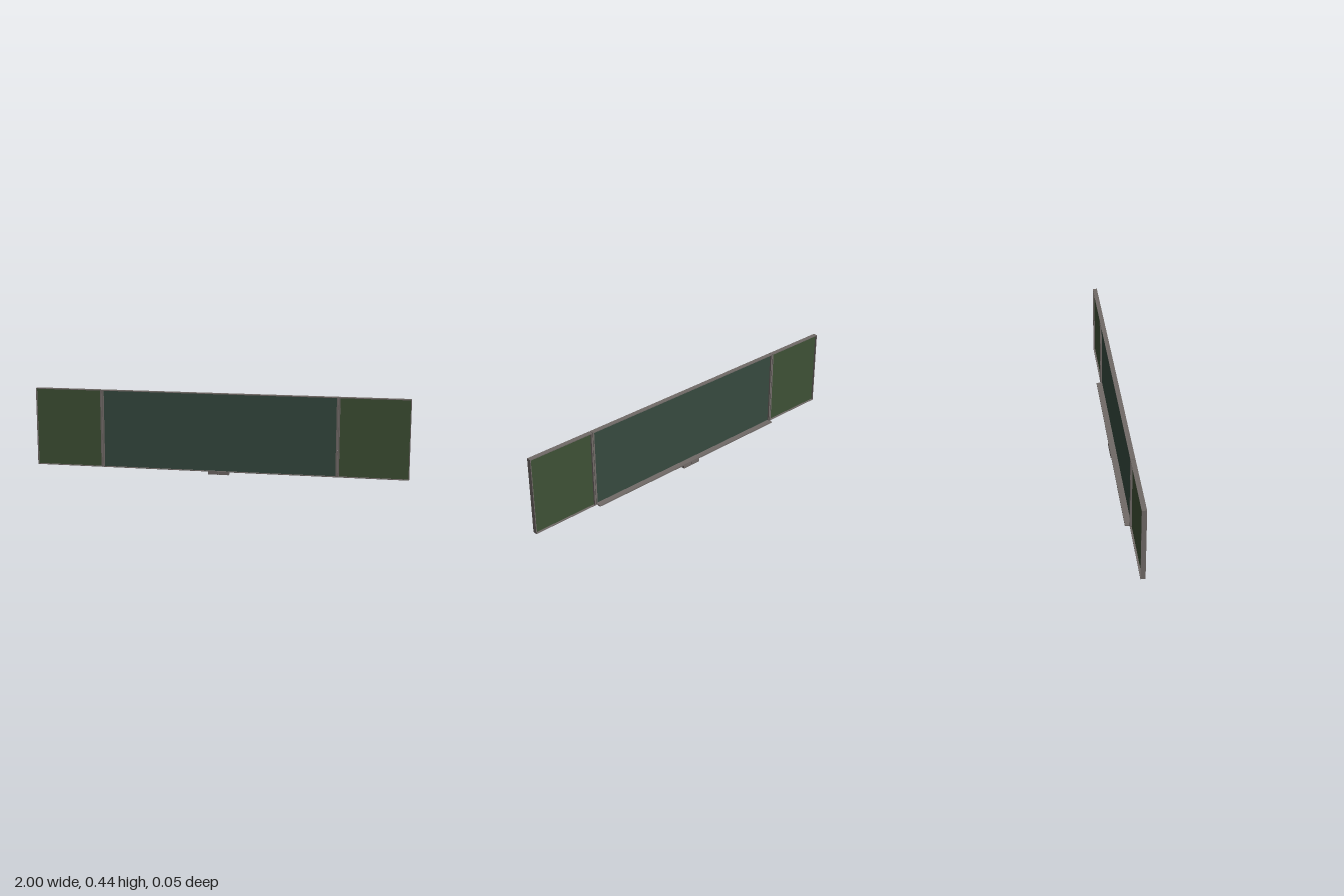
import * as THREE from 'three';

const frameMat = new THREE.MeshStandardMaterial({ name: 'frame grey', color: 0x706a67 });
const centreMat = new THREE.MeshStandardMaterial({ name: 'dark board green', color: 0x36493f });
const wingMat = new THREE.MeshStandardMaterial({ name: 'olive board green', color: 0x3e5035 });

// Box given by its lower and upper limits on each axis
function box(name, mat, [x0, x1], [y0, y1], [z0, z1]) {
  const mesh = new THREE.Mesh(new THREE.BoxGeometry(x1 - x0, y1 - y0, z1 - z0), mat);
  mesh.position.set((x0 + x1) / 2, (y0 + y1) / 2, (z0 + z1) / 2);
  mesh.name = name;
  return mesh;
}

const BOTTOM = 0.02, TOP = 0.44, DEPTH = [0.001, 0.025], RAIL = 0.004;

// Writing surface set into a thin, deep frame; left and right are the stile widths
function framedBoard(name, mat, x0, x1, left, right) {
  const board = new THREE.Group();
  board.name = name;
  board.add(
    box('writingSurface', mat, [x0 + left, x1 - right], [BOTTOM + RAIL, TOP - RAIL], [0.01, 0.016]),
    box('bottomRail', frameMat, [x0, x1], [BOTTOM, BOTTOM + RAIL], DEPTH),
    box('topRail', frameMat, [x0, x1], [TOP - RAIL, TOP], DEPTH),
    box('stile', frameMat, [x0, x0 + left], [BOTTOM + RAIL, TOP - RAIL], DEPTH),
    box('stile', frameMat, [x1 - right, x1], [BOTTOM + RAIL, TOP - RAIL], DEPTH)
  );
  return board;
}

export function createModel() {
  const model = new THREE.Group();
  model.name = 'foldingChalkboard';

  // Wide centre board with a wing on each side
  model.add(
    framedBoard('centreBoard', centreMat, -0.63, 0.63, 0.008, 0.008),
    framedBoard('rightWing', wingMat, -1, -0.632, RAIL, 0.008),
    framedBoard('leftWing', wingMat, 0.632, 1, 0.008, RAIL)
  );

  // Chalk ledge behind the centre board
  model.add(box('chalkLedge', frameMat, [-0.625, 0.625], [0.018, 0.025], [-0.022, 0.001]));

  // Pair of small blocks under the ledge
  for (const s of [-1, 1]) {
    const block = box('ledgeBlock', frameMat, [-0.0265, 0.0265], [0, 0.018], [-0.023, 0.005]);
    block.position.x = s * 0.0285;
    model.add(block);
  }
  return model;
}
